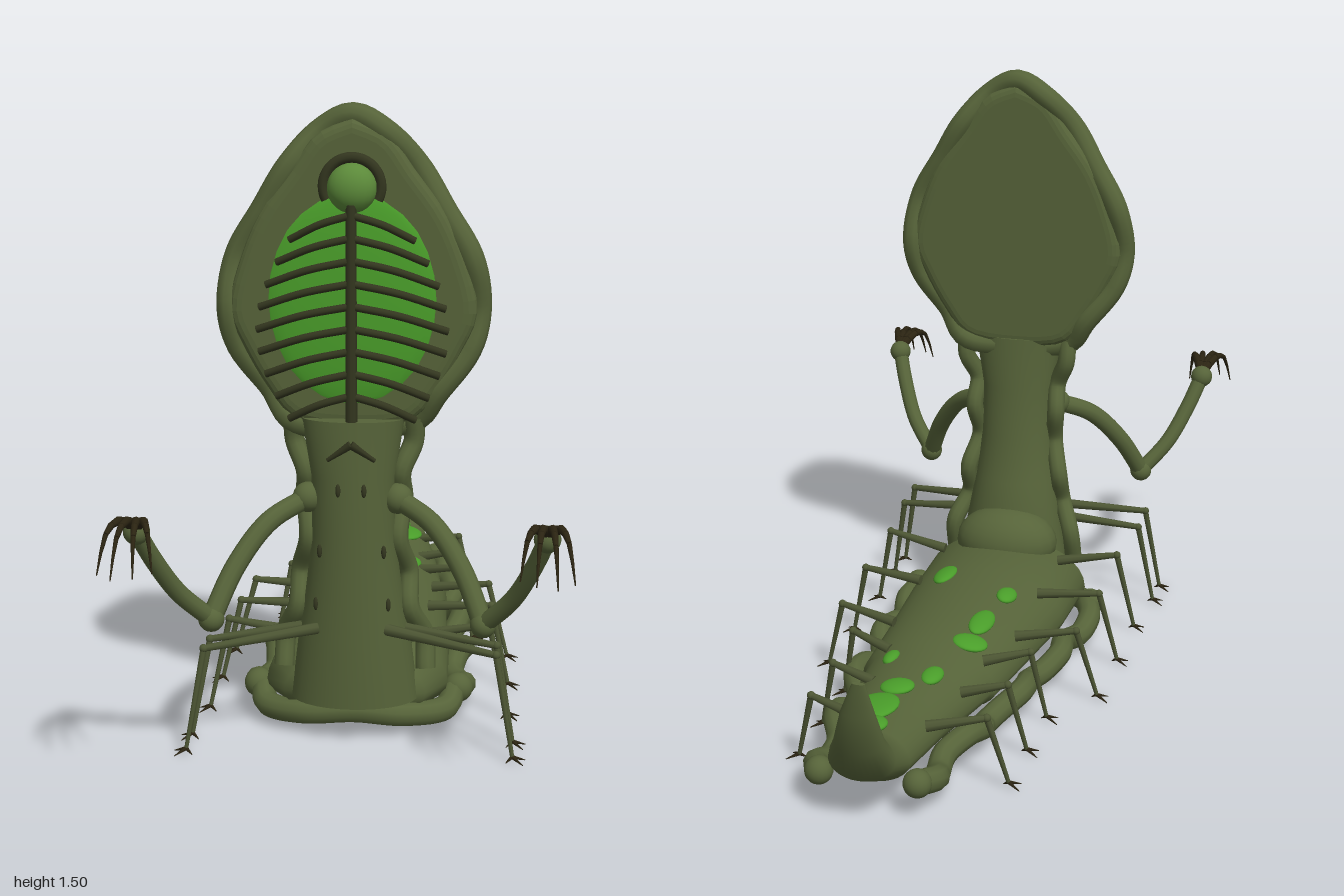
import * as THREE from 'three';

const V = (x, y, z) => new THREE.Vector3(x, y, z);
const mat = (name, color, side = THREE.FrontSide) => {
  const m = new THREE.MeshStandardMaterial({ color, side });
  m.name = name;
  return m;
};

// Skin over a list of equal rings, counter-clockwise about the travel direction, capped at both ends
function loft(rings) {
  const n = rings[0].length, pos = [], idx = [];
  const add = p => pos.push(p.x, p.y, p.z) / 3 - 1;
  rings.forEach(r => r.forEach(add));
  for (let i = 0; i < rings.length - 1; i++) for (let j = 0; j < n; j++) {
    const a = i * n + j, b = i * n + (j + 1) % n;
    idx.push(a, b, a + n, b, b + n, a + n);
  }
  [rings[0], rings[rings.length - 1]].forEach((r, end) => {
    const c = add(r.reduce((s, p) => s.add(p), V(0, 0, 0)).divideScalar(n));
    const ids = r.map(add);
    ids.forEach((a, j) => {
      const b = ids[(j + 1) % n];
      idx.push(c, end ? a : b, end ? b : a);
    });
  });
  const g = new THREE.BufferGeometry();
  g.setAttribute('position', new THREE.Float32BufferAttribute(pos, 3));
  g.setIndex(idx);
  g.computeVertexNormals();
  return g;
}

// Body stations: z, centre y, centre x, half width, height above, depth below, tilt
const BODY = [
  [0.45, 0.10, 0, 0.08, 0.05, 0.04, 0], [0.42, 0.10, 0, 0.17, 0.09, 0.07, 0],
  [0.34, 0.10, 0, 0.22, 0.13, 0.08, 0], [0.10, 0.10, 0, 0.215, 0.125, 0.075, 0],
  [-0.15, 0.10, 0.01, 0.19, 0.115, 0.07, 0], [-0.35, 0.10, 0.02, 0.172, 0.107, 0.065, 0],
  [-0.365, 0.10, 0.02, 0.162, 0.097, 0.06, 0], [-0.60, 0.11, 0.03, 0.125, 0.085, 0.06, 0],
  [-0.80, 0.125, 0.025, 0.098, 0.07, 0.055, 0.15], [-0.88, 0.165, 0.015, 0.08, 0.055, 0.05, 0.6],
  [-0.94, 0.24, 0, 0.06, 0.038, 0.035, 1.0], [-0.975, 0.33, -0.01, 0.04, 0.02, 0.02, 1.25],
  [-0.995, 0.41, -0.02, 0.015, 0.005, 0.005, 1.4]];

function station(z) {
  let i = 0;
  while (i < BODY.length - 2 && BODY[i + 1][0] > z) i++;
  const t = (z - BODY[i][0]) / (BODY[i + 1][0] - BODY[i][0]);
  return BODY[i].map((v, k) => v + (BODY[i + 1][k] - v) * t);
}
const bodyTop = (x, z) => {
  const [, y, cx, rx, up] = station(z);
  return y + up * Math.sqrt(Math.max(0, 1 - ((x - cx) / rx) ** 2));
};

export function createModel() {
  const root = new THREE.Group();
  root.name = 'creature';
  const skin = mat('olive skin', 0x566339), limb = mat('limb olive', 0x4c5533);
  const dark = mat('dark rib', 0x33361f), claw = mat('dark claw', 0x2b2412);
  const glow = mat('bright green', 0x4a9e2a), face = mat('head green', 0x5c8a3a);

  const add = (name, geo, m, parent = root) => {
    const o = new THREE.Mesh(geo, m);
    o.name = name;
    parent.add(o);
    return o;
  };
  const blob = (name, p, s, m, parent) => {
    const o = add(name, new THREE.SphereGeometry(1, 20, 14), m, parent);
    o.position.set(...p);
    o.scale.set(...s);
    return o;
  };
  const tube = (name, pts, r, m, parent, closed = false) => add(name, new THREE.TubeGeometry(
    new THREE.CatmullRomCurve3(pts, closed), pts.length * 6, r, 10, closed), m, parent);
  const rod = (name, a, b, r1, r2, m, parent) => {
    const o = add(name, new THREE.CylinderGeometry(r2, r1, a.distanceTo(b), 8), m, parent);
    o.position.copy(a).add(b).multiplyScalar(0.5);
    o.quaternion.setFromUnitVectors(V(0, 1, 0), b.clone().sub(a).normalize());
    return o;
  };

  // Body with upturned tail
  add('body', loft(BODY.map(([z, y, cx, rx, up, down, a]) => Array.from({ length: 32 }, (_, j) => {
    const t = j / 32 * Math.PI * 2, v = Math.sin(t) * (Math.sin(t) > 0 ? up : down);
    return V(cx - rx * Math.cos(t), y + v * Math.cos(a), z + v * Math.sin(a));
  }))), skin);

  // Ruffle running round the body edge
  const edge = [];
  for (let i = 0; i <= 18; i++) {
    const z = -0.82 + i * 0.066, [, , cx, rx] = station(z);
    edge.push([cx, rx + 0.025 + 0.016 * Math.sin(i * 1.7), 0.07 + 0.018 * Math.cos(i * 1.5) - i * 0.001, z]);
  }
  const ruffle = [...edge.map(([c, r, y, z]) => V(c - r, y, z)), V(-0.12, 0.05, 0.43), V(0, 0.06, 0.44),
    V(0.12, 0.05, 0.43), ...edge.reverse().map(([c, r, y, z]) => V(c + r, y, z))];
  tube('bodyRuffle', ruffle, 0.03, skin);
  for (const p of [ruffle[0], ruffle[ruffle.length - 1]]) blob('ruffleEnd', p.toArray(), [0.034, 0.034, 0.034], skin);
  for (const s of [-1, 1]) blob('ruffleKnob', [s * 0.245, 0.075, 0.3], [0.036, 0.036, 0.036], skin);

  // Glowing spots on the back: x, z, half width, half length
  for (const [x, z, w, l] of [[0.03, -0.77, 0.04, 0.04], [0.05, -0.68, 0.058, 0.07], [0.03, -0.57, 0.042, 0.04],
    [-0.03, -0.48, 0.026, 0.045], [0.1, -0.4, 0.02, 0.035], [-0.07, -0.29, 0.045, 0.042],
    [-0.07, -0.18, 0.03, 0.07], [-0.09, -0.01, 0.026, 0.042], [0.1, 0.07, 0.03, 0.055]])
    blob('backSpot', [x, bodyTop(x, z), z], [w, 0.013, l], glow).rotation.z = -x * 2.5;

  // Upright neck and the swelling behind it
  add('neck', loft([[0.09, 0.41, 0.152, 0.11], [0.25, 0.41, 0.133, 0.11], [0.38, 0.428, 0.112, 0.092],
    [0.5, 0.44, 0.098, 0.08], [0.64, 0.447, 0.098, 0.073], [0.78, 0.45, 0.12, 0.065]].map(([y, z, rx, rz]) =>
    Array.from({ length: 32 }, (_, j) => {
      const t = j / 32 * Math.PI * 2;
      return V(rx * Math.sin(t), y, z + rz * Math.cos(t));
    }))), skin);
  blob('neckSwelling', [0, 0.22, 0.33], [0.14, 0.095, 0.1], skin);

  // Hood plate with ruffled rim
  const half = [[0.08, 1.44], [0.14, 1.36], [0.215, 1.26], [0.265, 1.15], [0.295, 1.03], [0.26, 0.94], [0.2, 0.84], [0.135, 0.77]];
  const outline = [[0, 1.475], ...half, [0, 0.755], ...half.slice().reverse().map(([x, y]) => [-x, y])];
  const shape = new THREE.Shape(new THREE.SplineCurve([...outline, outline[0]]
    .map(([x, y]) => new THREE.Vector2(x * 0.9, 1.1 + (y - 1.1) * 0.93))).getPoints(64));
  const plate = new THREE.ExtrudeGeometry(shape, {
    depth: 0.04, bevelEnabled: true, bevelThickness: 0.02, bevelSize: 0.03, bevelOffset: -0.01, bevelSegments: 4 });
  plate.translate(0, 0, 0.41);
  add('hoodPlate', plate, skin);
  tube('hoodRim', outline.map(([x, y], i) =>
    V(x + Math.sign(x) * 0.007 * Math.cos(i * Math.PI), y, 0.425 + 0.014 * Math.sin(i * 2.1))), 0.03, skin, root, true);

  // Glowing chest panel, spine, ribs and head
  blob('chestPanel', [0, 1.06, 0.465], [0.2, 0.25, 0.022], glow);
  rod('spine', V(0, 0.76, 0.5), V(0, 1.28, 0.5), 0.014, 0.012, dark);
  for (let i = 0; i < 9; i++) for (const s of [-1, 1]) {
    const y = 0.84 + i * 0.052, w = 0.12 + 0.1 * Math.sin((i + 0.8) / 9.5 * Math.PI);
    tube('rib', [V(0, y, 0.5), V(s * w * 0.5, y - 0.022, 0.497), V(s * w, y - 0.06, 0.472)], 0.009, dark);
  }
  blob('head', [0, 1.315, 0.475], [0.057, 0.057, 0.045], face);
  const arch = add('headArch', new THREE.TorusGeometry(0.066, 0.013, 8, 24, Math.PI * 1.3), dark);
  arch.position.set(0, 1.318, 0.468);
  arch.rotation.z = -Math.PI * 0.15;

  for (const s of [-1, 1]) {
    const side = s > 0 ? 'left' : 'right';
    const P = (x, y, z) => V(s * x, y, z);

    // Neck ruffle and dark marks
    tube(side + 'NeckRuffle', [P(0.17, 0.16, 0.41), P(0.165, 0.24, 0.39), P(0.132, 0.32, 0.43), P(0.128, 0.4, 0.4),
      P(0.105, 0.49, 0.44), P(0.115, 0.58, 0.41), P(0.112, 0.65, 0.44), P(0.14, 0.72, 0.42), P(0.14, 0.78, 0.43)], 0.024, skin);
    rod('throatChevron', P(0, 0.73, 0.52), P(0.055, 0.69, 0.508), 0.01, 0.005, dark);
    for (const [x, y] of [[0.03, 0.62], [0.075, 0.47], [0.085, 0.34]])
      blob('neckMark', [s * x, y, 0.44 + 0.08 * Math.sqrt(1 - (x / 0.11) ** 2)], [0.006, 0.016, 0.006], dark);

    // Arm with curved claws
    const arm = new THREE.Group();
    arm.name = side + 'Arm';
    root.add(arm);
    blob('shoulder', [s * 0.105, 0.59, 0.46], [0.036, 0.036, 0.036], skin, arm);
    tube('upperArm', [P(0.105, 0.59, 0.46), P(0.19, 0.545, 0.52), P(0.26, 0.455, 0.58), P(0.31, 0.345, 0.64)], 0.024, skin, arm);
    blob('elbow', [s * 0.31, 0.345, 0.64], [0.03, 0.03, 0.03], skin, arm);
    tube('forearm', [P(0.31, 0.345, 0.64), P(0.375, 0.42, 0.69), P(0.42, 0.51, 0.745), P(0.45, 0.59, 0.79)], 0.021, skin, arm);
    blob('wrist', [s * 0.45, 0.59, 0.79], [0.03, 0.03, 0.03], skin, arm);
    [[-0.055, 0.93], [-0.022, 0.97], [0.02, 0.99], [0.055, 0.95]].forEach(([dx, z]) => {
      const c = [P(0.45, 0.6, 0.79), P(0.45 + dx * 0.5, 0.63, 0.85), P(0.45 + dx * 0.8, 0.615, 0.85 + (z - 0.85) * 0.6), P(0.45 + dx * 1.05, 0.535, z)];
      const pts = new THREE.CatmullRomCurve3(c).getPoints(6);
      for (let i = 0; i < 6; i++) rod('claw', pts[i], pts[i + 1], 0.014 - i * 0.0021, 0.0119 - i * 0.0021, claw, arm);
    });

    // Walking legs: hip x, y, z, knee x, y, foot x, z
    for (const [hx, hy, hz, kx, ky, fx, fz] of [[0.08, 0.28, 0.49, 0.34, 0.25, 0.38, 0.6], [0.1, 0.27, 0.43, 0.34, 0.24, 0.38, 0.5],
      [0.16, 0.2, 0.27, 0.32, 0.23, 0.365, 0.31], [0.16, 0.2, 0.04, 0.32, 0.21, 0.365, 0.09],
      [0.16, 0.18, -0.19, 0.31, 0.2, 0.36, -0.13], [0.12, 0.18, -0.35, 0.23, 0.2, 0.265, -0.28],
      [0.11, 0.17, -0.51, 0.22, 0.195, 0.26, -0.46], [0.08, 0.17, -0.7, 0.215, 0.19, 0.26, -0.63]]) {
      const leg = new THREE.Group();
      leg.name = side + 'Leg';
      root.add(leg);
      const hip = P(hx, hy, hz), knee = P(kx, ky, fz - 0.03), foot = P(fx, 0.015, fz);
      rod('thigh', hip, knee, 0.014, 0.008, limb, leg);
      blob('knee', knee.toArray(), [0.01, 0.01, 0.01], limb, leg);
      rod('shin', knee, foot, 0.008, 0.005, limb, leg);
      for (const [dx, dz] of [[0.025, 0.022], [0.03, -0.015], [-0.015, 0.01]])
        rod('toe', foot, P(fx + dx, 0.003, fz + dz), 0.005, 0.001, claw, leg);
    }
  }
  return root;
}
